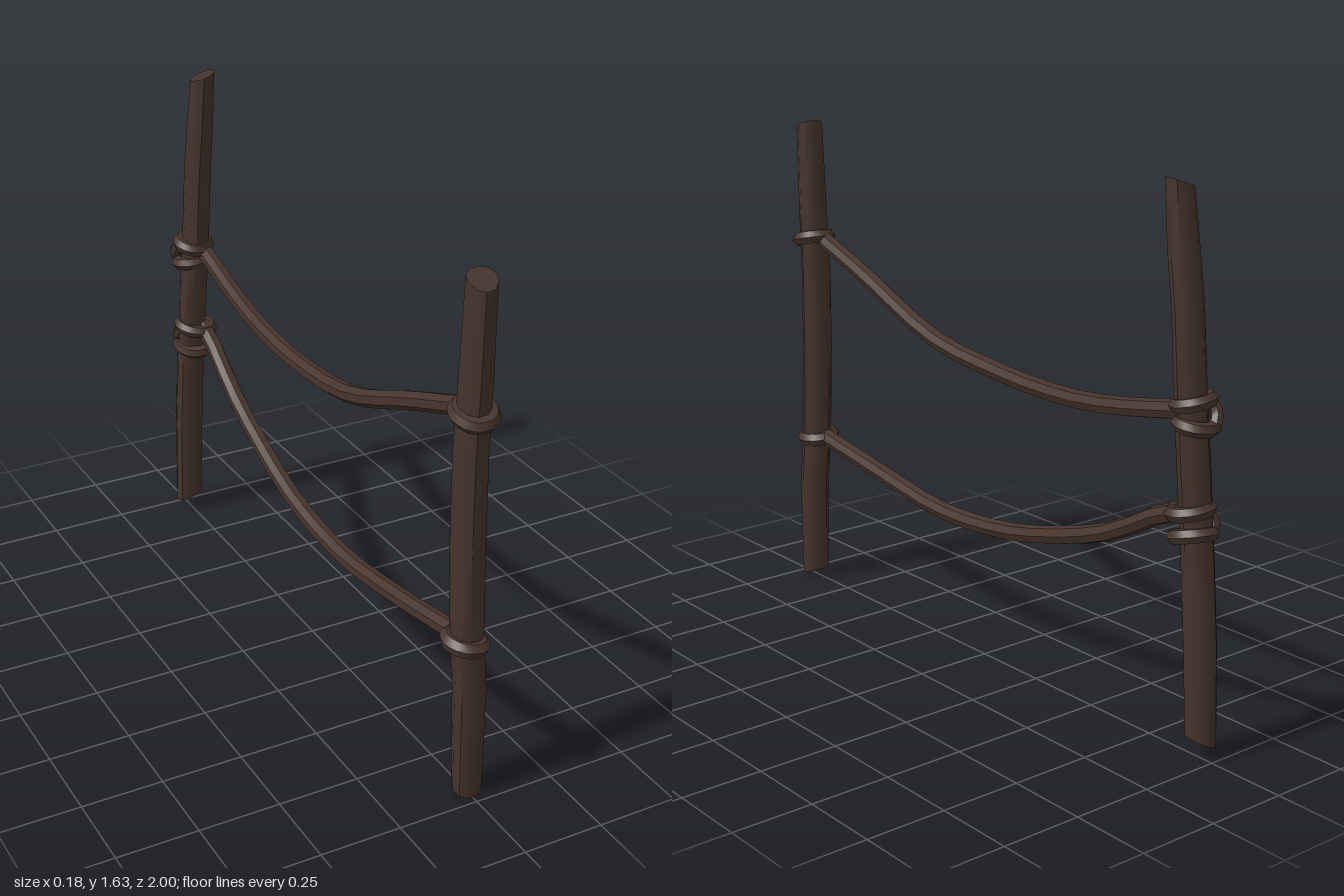
import * as THREE from 'three';
import { toCreasedNormals } from 'three/addons/utils/BufferGeometryUtils.js';

const V = (a) => new THREE.Vector3(...a);

// Crooked pole lofted through [x, y, z, radius] stations; both ends are cut on a slant
function poleGeometry(stations, cutBottom, cutTop, sides = 10) {
  const pos = [], idx = [], last = stations.length - 1;
  stations.forEach(([x, y, z, r], i) => {
    const cut = i === 0 ? cutBottom : i === last ? cutTop : [0, 0];
    for (let j = 0; j < sides; j++) {
      const a = (j / sides) * Math.PI * 2;
      const rr = r * (1 + 0.04 * Math.sin(3 * a + i * 0.4));
      const dx = Math.cos(a) * rr, dz = Math.sin(a) * rr;
      pos.push(x + dx, y + cut[0] * dx + cut[1] * dz, z + dz);
    }
  });
  for (let i = 0; i < last; i++) {
    for (let j = 0; j < sides; j++) {
      const a = i * sides + j, b = i * sides + (j + 1) % sides;
      idx.push(a, a + sides, b, b, a + sides, b + sides);
    }
  }
  // End caps as fans
  const top = last * sides;
  for (let j = 1; j < sides - 1; j++) {
    idx.push(0, j, j + 1, top, top + j + 1, top + j);
  }
  const geo = new THREE.BufferGeometry();
  geo.setAttribute('position', new THREE.Float32BufferAttribute(pos, 3));
  geo.setIndex(idx);
  return toCreasedNormals(geo, 0.72);
}

export function createModel() {
  const group = new THREE.Group();
  const wood = new THREE.MeshStandardMaterial({ color: 0x45332b });
  wood.name = 'dark wood';
  const rope = new THREE.MeshStandardMaterial({ color: 0x48352d });
  rope.name = 'dark rope';

  const add = (name, geo, mat) => {
    const mesh = new THREE.Mesh(geo, mat);
    mesh.name = name;
    group.add(mesh);
  };

  // Posts
  add('frontPost', poleGeometry([
    [0, 0.025, 0.938, 0.043], [0, 0.2, 0.936, 0.046], [0, 0.36, 0.934, 0.048],
    [-0.01, 0.52, 0.93, 0.048], [-0.016, 0.8, 0.925, 0.049], [-0.015, 1.1, 0.922, 0.048],
    [-0.012, 1.3, 0.928, 0.046], [-0.012, 1.59, 0.938, 0.042],
  ], [0, -0.35], [0.1, -0.45]), wood);
  add('backPost', poleGeometry([
    [-0.005, 0.062, -0.951, 0.045], [-0.002, 0.35, -0.94, 0.047], [0.005, 0.6, -0.926, 0.047],
    [0.018, 0.85, -0.914, 0.047], [0.03, 1.05, -0.905, 0.046], [0.04, 1.3, -0.894, 0.045],
    [0.046, 1.45, -0.878, 0.044], [0.053, 1.63, -0.864, 0.04],
  ], [0.35, 0.15], [0.35, 0.1]), wood);

  // Sagging ropes
  const addRope = (name, pts) => {
    const curve = new THREE.CatmullRomCurve3(pts.map(V));
    add(name, toCreasedNormals(new THREE.TubeGeometry(curve, 16, 0.028, 7), 0.6), rope);
  };
  addRope('upperRope', [
    [-0.02, 1.225, 0.91], [-0.022, 1.13, 0.65], [-0.018, 0.985, 0.27], [-0.01, 0.945, -0.05],
    [0.008, 0.938, -0.33], [0.026, 0.957, -0.56], [0.048, 1.01, -0.85], [0.05, 1.02, -0.9],
  ]);
  addRope('lowerRope', [
    [-0.02, 0.525, 0.91], [-0.024, 0.465, 0.55], [-0.018, 0.425, 0.23], [-0.008, 0.448, -0.1],
    [0.01, 0.515, -0.38], [0.026, 0.59, -0.6], [0.044, 0.72, -0.85], [0.046, 0.735, -0.9],
  ]);

  // Loops tied round the posts: centre, slope along x and z, radius
  const addLoop = (name, [x, y, z], sx, sz, r = 0.049, tube = 0.022) => {
    const pts = [];
    for (let i = 0; i < 9; i++) {
      const a = (i / 9) * Math.PI * 2;
      const rr = r * (1 + 0.06 * Math.sin(2 * a + y * 9));
      const dx = Math.cos(a) * rr, dz = Math.sin(a) * rr;
      pts.push(new THREE.Vector3(x + dx, y + sx * dx + sz * dz, z + dz));
    }
    const curve = new THREE.CatmullRomCurve3(pts, true);
    add(name, toCreasedNormals(new THREE.TubeGeometry(curve, 18, tube, 6, true), 0.7), rope);
  };
  addLoop('frontUpperLoop', [-0.013, 1.212, 0.925], 0.05, -0.25, 0.049, 0.024);
  addLoop('frontLowerLoop', [-0.018, 0.518, 0.932], -0.15, -0.04, 0.049, 0.024);
  addLoop('backUpperLoopHigh', [0.024, 1.04, -0.91], -0.1, -0.2);
  addLoop('backUpperLoopLow', [0.022, 0.978, -0.92], 0.1, 0.12);
  addLoop('backLowerLoopHigh', [0.022, 0.735, -0.91], -0.1, -0.15);
  addLoop('backLowerLoopLow', [0.018, 0.665, -0.918], 0.1, -0.28);

  // Short strands joining each pair of loops
  const addStrand = (name, pts) => {
    const curve = new THREE.CatmullRomCurve3(pts.map(V));
    add(name, toCreasedNormals(new THREE.TubeGeometry(curve, 6, 0.018, 6), 0.7), rope);
  };
  [['upperStrand', 1.01], ['lowerStrand', 0.7]].forEach(([name, y]) => {
    addStrand(name, [[-0.022, y + 0.035, -0.925], [-0.03, y, -0.945], [-0.012, y - 0.035, -0.96]]);
  });

  return group;
}
